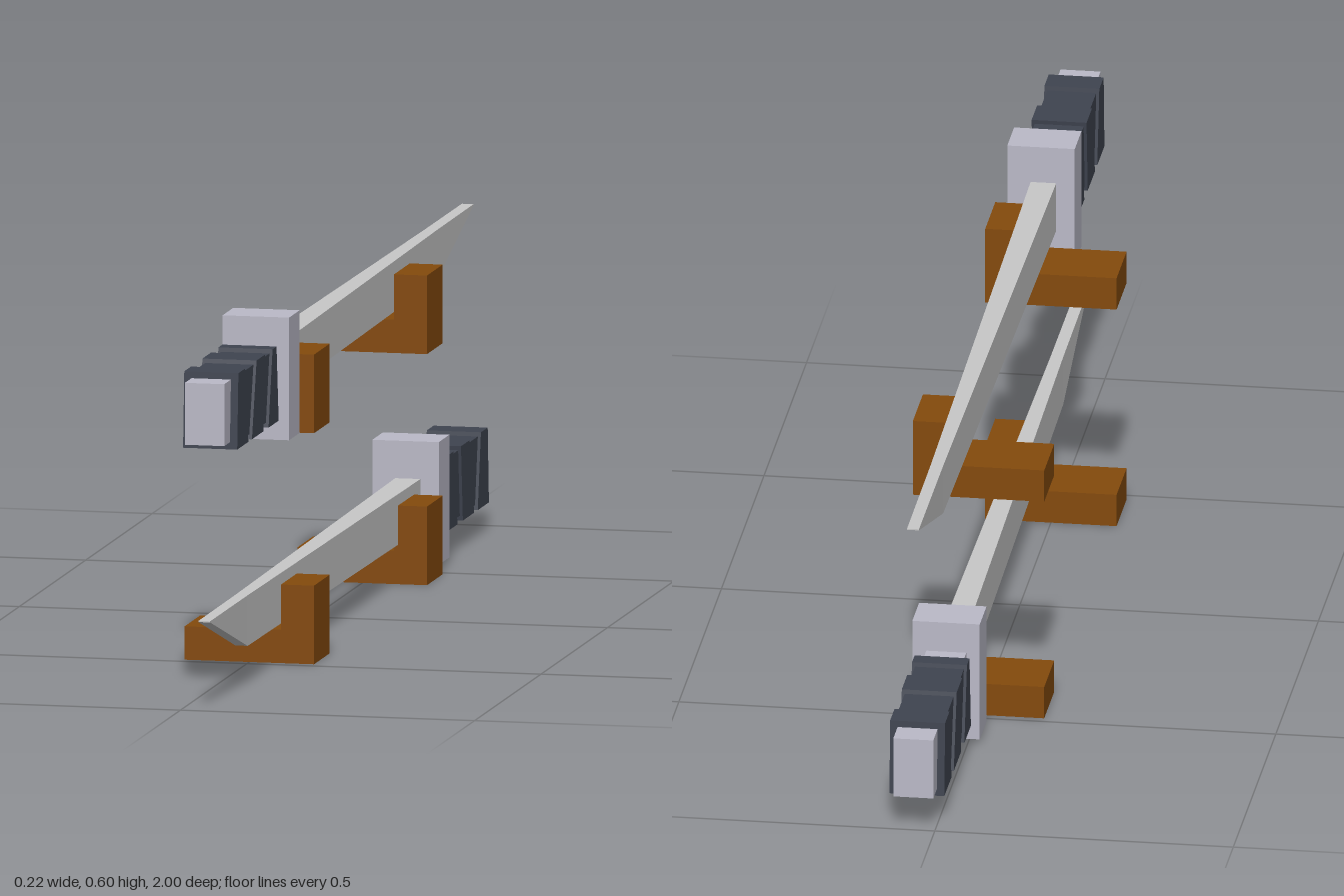
import * as THREE from 'three';

const mat = (name, color) => {
  const m = new THREE.MeshStandardMaterial({ color });
  m.name = name;
  return m;
};

export function createModel() {
  const steel = mat('blade steel', 0xc8c8c8);
  const silver = mat('pale silver', 0xbbbac8);
  const leather = mat('dark wrap', 0x3f4450);
  const wood = mat('brown wood', 0x844a0c);

  const add = (parent, name, geometry, material) => {
    const mesh = new THREE.Mesh(geometry, material);
    mesh.name = name;
    parent.add(mesh);
    return mesh;
  };
  // Box given by its limits on each axis
  const box = (x0, x1, y0, y1, z0, z1) =>
    new THREE.BoxGeometry(x1 - x0, y1 - y0, z1 - z0)
      .translate((x0 + x1) / 2, (y0 + y1) / 2, (z0 + z1) / 2);
  // Side profile of [z, y] points, extruded across x about a centre
  const slab = (points, width, centre) =>
    new THREE.ExtrudeGeometry(
      new THREE.Shape(points.map(([z, y]) => new THREE.Vector2(-z, y))),
      { depth: width, bevelEnabled: false }
    ).translate(0, 0, -width / 2).rotateY(Math.PI / 2).translate(centre, 0, 0);

  // Blade: a bar that narrows toward the point, with a slanted underside at the tip
  const bladeGeometry = () => {
    const stations = [
      { z: -0.54, half: 0.0215, bottom: 0.066 },
      { z: 0.72, half: 0.0105, bottom: 0.066 },
      { z: 1.0, half: 0.01, bottom: 0.149 },
    ];
    const g = new THREE.BoxGeometry(2, 2, 2, 1, 1, 2).toNonIndexed();
    const p = g.attributes.position;
    for (let i = 0; i < p.count; i++) {
      const s = stations[Math.round(p.getZ(i)) + 1];
      p.setXYZ(i, 0.002 + p.getX(i) * s.half, p.getY(i) > 0 ? 0.151 : s.bottom, s.z);
    }
    g.computeVertexNormals();
    return g;
  };

  const makeSword = (name) => {
    const sword = new THREE.Group();
    sword.name = name;
    add(sword, 'blade', bladeGeometry(), steel);
    add(sword, 'guard', box(-0.0585, 0.0545, 0.008, 0.214, -0.612, -0.532), silver);
    add(sword, 'handleCore', box(-0.036, 0.031, 0.058, 0.162, -1, -0.6), silver);
    // Wrap: a thin sleeve with three slanted bands over it
    add(sword, 'wrapSleeve', slab(
      [[-0.652, 0.054], [-0.664, 0.166], [-0.948, 0.166], [-0.955, 0.054]].reverse(),
      0.082, -0.0025), leather);
    const bands = [ // bottom start, bottom end, top start, top end
      [0.646, 0.722, 0.662, 0.692],
      [0.762, 0.847, 0.748, 0.812],
      [0.874, 0.958, 0.898, 0.949],
    ];
    bands.forEach(([b0, b1, t0, t1], i) => add(sword, `wrapBand${i + 1}`, slab(
      [[-b0, 0.046], [-b1, 0.046], [-t1, 0.173], [-t0, 0.173]],
      0.092, -0.0025), leather));
    return sword;
  };

  const model = new THREE.Group();
  model.name = 'swordPair';

  // Lower sword points forward, upper sword points backward
  const lower = makeSword('lowerSword');
  lower.position.x = 0.0385;
  const upper = makeSword('upperSword');
  upper.position.set(0.0385, 0.388, 0);
  upper.rotation.y = Math.PI;
  model.add(lower, upper);

  // L-shaped wall brackets, two under each sword
  const ell = new THREE.Shape([
    [-0.11, 0], [0.11, 0], [0.11, 0.132], [0.054, 0.132], [0.054, 0.056], [-0.11, 0.056],
  ].map(([x, y]) => new THREE.Vector2(x, y)));
  for (const [level, y] of [['lower', 0], ['upper', 0.388]]) {
    for (const [end, z] of [['Front', 0.364], ['Back', -0.486]]) {
      const g = new THREE.ExtrudeGeometry(ell, { depth: 0.118, bevelEnabled: false });
      add(model, `${level}${end}Bracket`, g, wood).position.set(0, y, z);
    }
  }
  return model;
}
